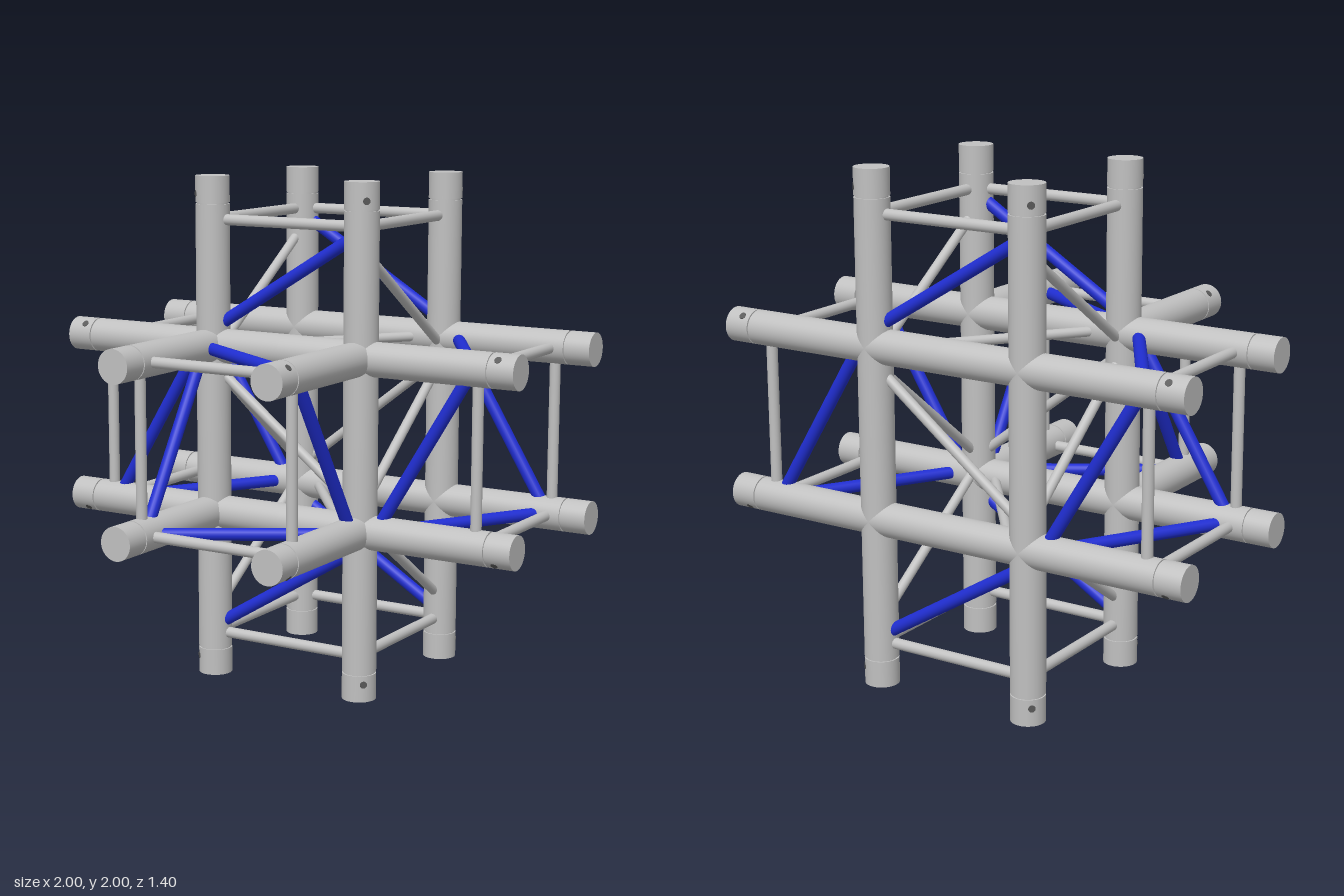
import * as THREE from 'three';

const CENTER = new THREE.Vector3(0, 1, -0.3); // middle of the junction cube
const A = 0.335;       // half spacing of the main tubes
const R = 0.067;       // main tube radius
const END = 1.0;       // arm reach from the centre
const SEAM = 0.89;     // where each end coupler starts

const aluminium = new THREE.MeshStandardMaterial({ color: 0xc0c0c0 });
aluminium.name = 'aluminium';
const blue = new THREE.MeshStandardMaterial({ color: 0x202ed2 });
blue.name = 'blue brace';
const dark = new THREE.MeshStandardMaterial({ color: 0x5a5a5a });
dark.name = 'pin hole';

const UP = new THREE.Vector3(0, 1, 0);

// round bar between two points
function rod(parent, name, p, q, radius, material, sides = 20) {
  const dir = q.clone().sub(p);
  const mesh = new THREE.Mesh(new THREE.CylinderGeometry(radius, radius, dir.length(), sides), material);
  mesh.position.copy(p).add(q).multiplyScalar(0.5);
  mesh.quaternion.setFromUnitVectors(UP, dir.normalize());
  mesh.name = name;
  parent.add(mesh);
}

// point from named axis offsets measured from the junction centre
function at(offsets) {
  const p = CENTER.clone();
  for (const axis in offsets) p[axis] += offsets[axis];
  return p;
}

// one square arm: d = its axis, s = its direction, u and v = cross axes
function buildArm({ name, d, s, u, v, grayFace }) {
  const arm = new THREE.Group();
  arm.name = name;
  const pt = (cu, cv, t) => at({ [u]: cu, [v]: cv, [d]: s * t });

  for (const su of [-1, 1]) for (const sv of [-1, 1]) {
    const cu = su * A, cv = sv * A;
    // main tube, recessed seam and end coupler
    const start = d === 'z' ? A : 0;
    rod(arm, 'mainTube', pt(cu, cv, start), pt(cu, cv, SEAM), R, aluminium, 40);
    rod(arm, 'seam', pt(cu, cv, SEAM - 0.01), pt(cu, cv, SEAM + 0.015), R - 0.006, aluminium, 40);
    rod(arm, 'coupler', pt(cu, cv, SEAM + 0.006), pt(cu, cv, END), R, aluminium, 40);
    // pin hole facing diagonally outward
    const k0 = (R - 0.004) * Math.SQRT1_2, k1 = (R + 0.001) * Math.SQRT1_2;
    rod(arm, 'pinHole', pt(cu + su * k0, cv + sv * k0, 0.93), pt(cu + su * k1, cv + sv * k1, 0.93), 0.014, dark, 16);
  }

  // rungs and zigzag braces, one of each on all four faces
  for (const [face, across] of [[u, v], [v, u]]) for (const f of [-1, 1]) {
    const on = (c, t) => at({ [face]: f * A, [across]: c, [d]: s * t });
    rod(arm, 'rung', on(-0.3, 0.83), on(0.3, 0.83), 0.0215, aluminium);
    const gray = face === grayFace;
    const mid = gray ? 0.52 : 0.605;
    const rise = (gray ? 0.185 : 0.165) * (0.3 / 0.27) * f * s;
    rod(arm, 'brace', on(-0.3, mid - rise), on(0.3, mid + rise),
      gray ? 0.0195 : 0.0245, gray ? aluminium : blue);
  }
  return arm;
}

export function createModel() {
  const model = new THREE.Group();
  model.name = 'trussJunction';

  const arms = [
    { name: 'topArm', d: 'y', s: 1, u: 'x', v: 'z', grayFace: 'x' },
    { name: 'bottomArm', d: 'y', s: -1, u: 'x', v: 'z', grayFace: 'x' },
    { name: 'leftArm', d: 'x', s: 1, u: 'z', v: 'y' },
    { name: 'rightArm', d: 'x', s: -1, u: 'z', v: 'y' },
    { name: 'frontArm', d: 'z', s: 1, u: 'x', v: 'y' },
  ];
  for (const a of arms) model.add(buildArm(a));

  // junction cube: one diagonal per face, opposite faces crossing
  const core = new THREE.Group();
  core.name = 'coreBraces';
  const k = 0.21 * (0.3 / 0.27);
  for (const [face, across, along] of [['x', 'z', 'y'], ['z', 'x', 'y'], ['y', 'z', 'x']])
    for (const f of [-1, 1]) {
      const end = (c) => at({ [face]: f * A, [across]: c * 0.3, [along]: -f * c * k });
      rod(core, 'coreBrace', end(-1), end(1), 0.0195, aluminium);
    }
  model.add(core);
  return model;
}
